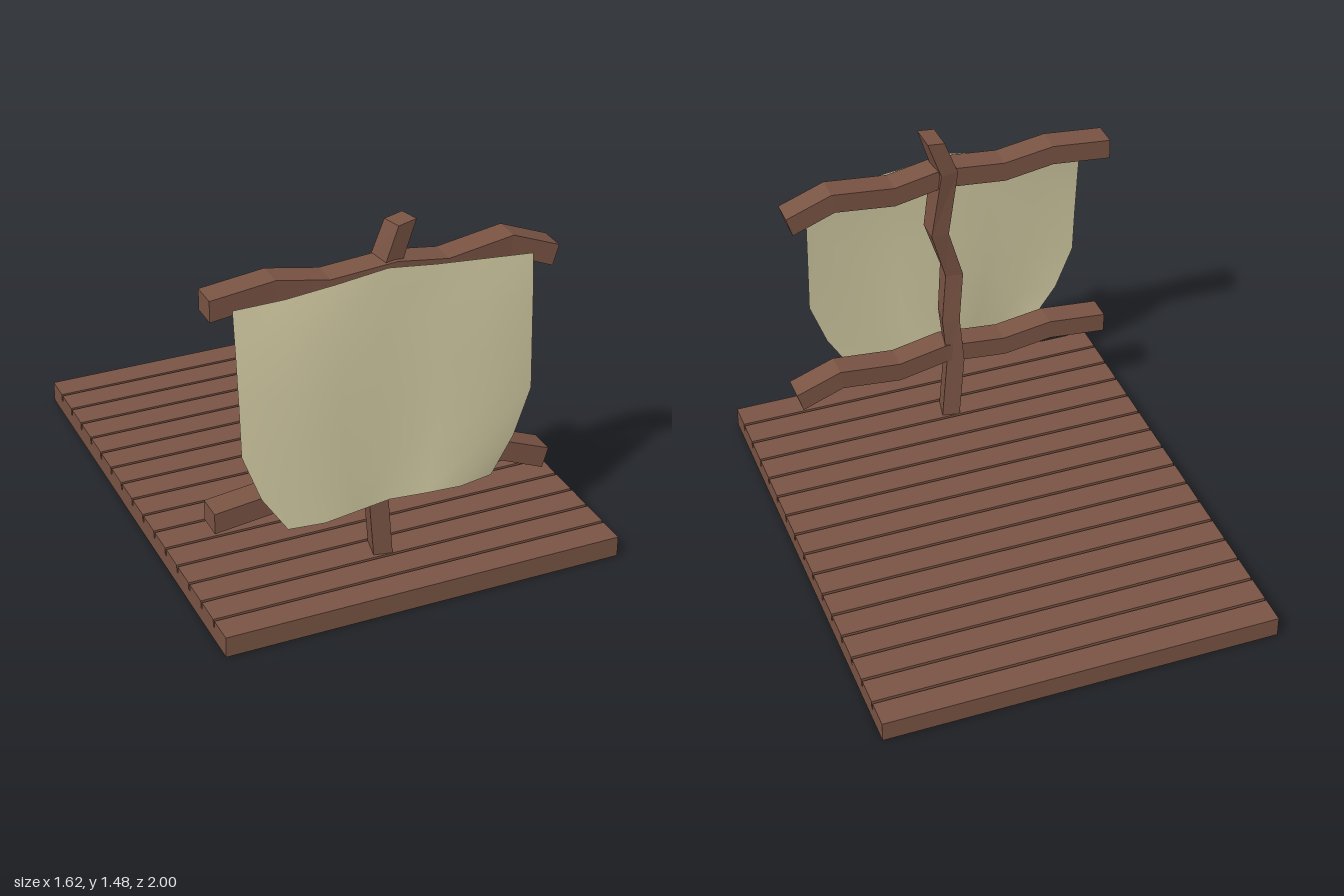
import * as THREE from 'three';

const wood = new THREE.MeshStandardMaterial({ color: 0x7a5444 });
wood.name = 'brown wood';
const canvas = new THREE.MeshStandardMaterial({ color: 0xd6cea6, side: THREE.DoubleSide });
canvas.name = 'pale canvas';

const V = (x, y, z) => new THREE.Vector3(x, y, z);

function addMesh(parent, name, geometry, material) {
  const mesh = new THREE.Mesh(geometry, material);
  mesh.name = name;
  parent.add(mesh);
  return mesh;
}

// Flat-shaded timber through four-cornered rings: centre c, half-axes a and b
function timber(rings) {
  const pos = [], index = [];
  for (const { c, a, b } of rings) {
    for (const [s, t] of [[1, 1], [-1, 1], [-1, -1], [1, -1]]) {
      const p = c.clone().addScaledVector(a, s).addScaledVector(b, t);
      pos.push(p.x, p.y, p.z);
    }
  }
  for (let i = 0; i < rings.length - 1; i++) {
    for (let k = 0; k < 4; k++) {
      const p = i * 4 + k, q = i * 4 + (k + 1) % 4;
      index.push(q, p, p + 4, q, p + 4, q + 4);
    }
  }
  const e = (rings.length - 1) * 4;
  index.push(0, 1, 2, 0, 2, 3, e + 3, e + 2, e + 1, e + 3, e + 1, e);
  const indexed = new THREE.BufferGeometry();
  indexed.setAttribute('position', new THREE.Float32BufferAttribute(pos, 3));
  indexed.setIndex(index);
  const geometry = indexed.toNonIndexed();
  geometry.computeVertexNormals();
  return geometry;
}

// Deck slab with grooves between its planks
function deckGeometry() {
  const top = 0.085, floor = 0.055, half = 0.006, pitch = 0.126;
  const shape = new THREE.Shape();
  shape.moveTo(-1, 0);
  shape.lineTo(1, 0);
  shape.lineTo(1, top);
  for (let i = 7; i >= -7; i--) {
    const z = i * pitch;
    shape.lineTo(z + half, top);
    shape.lineTo(z + half, floor);
    shape.lineTo(z - half, floor);
    shape.lineTo(z - half, top);
  }
  shape.lineTo(-1, top);
  const geometry = new THREE.ExtrudeGeometry(shape, { depth: 1.62, bevelEnabled: false });
  geometry.translate(0, 0, -0.81);
  geometry.rotateY(Math.PI / 2);
  return geometry;
}

// Crooked, slightly twisted mast: x, y, z, yaw
function mastGeometry() {
  const path = [
    [-0.053, 0.06, 0.692, -0.2],
    [-0.079, 0.37, 0.692, -0.2],
    [-0.06, 0.58, 0.698, -0.15],
    [-0.078, 0.8, 0.708, -0.1],
    [-0.01, 1.02, 0.695, 0],
    [-0.045, 1.31, 0.685, 0.12],
    [0.007, 1.465, 0.69, 0.1],
  ];
  return timber(path.map(([x, y, z, yaw], i) => {
    const s = Math.sin(yaw), c = Math.cos(yaw), tip = i === path.length - 1 ? 0.006 : 0;
    return {
      c: V(x, y, z),
      a: V(c * 0.037, tip, -s * 0.037),
      b: V(s * 0.05, tip, c * 0.05),
    };
  }));
}

// Wavy yard: x, y, z, tilt
function yardGeometry() {
  const path = [
    [-0.745, 1.276, 0.692, 0],
    [-0.495, 1.303, 0.688, -0.02],
    [-0.29, 1.266, 0.694, -0.05],
    [-0.03, 1.288, 0.7, 0],
    [0.18, 1.253, 0.69, 0],
    [0.44, 1.288, 0.678, -0.12],
    [0.622, 1.215, 0.682, -0.3],
  ];
  return timber(path.map(([x, y, z, tilt]) => ({
    c: V(x, y, z),
    a: V(0, 0, 0.053),
    b: V(-Math.sin(tilt) * 0.042, Math.cos(tilt) * 0.042, 0),
  })));
}

// Billowing sheet, narrowing toward its foot
function sailGeometry() {
  const rows = [ // height, left edge, right edge
    [1.27, -0.665, 0.515], [1.1, -0.665, 0.517], [0.9, -0.662, 0.518],
    [0.7, -0.66, 0.52], [0.51, -0.59, 0.45], [0.36, -0.49, 0.36],
  ];
  const crest = [0, 0.004, 0.025, 0.053, 0.025, 0.005, -0.015];
  const headZ = [0.757, 0.76, 0.765, 0.772, 0.765, 0.76, 0.755];
  const footZ = [0.825, 0.84, 0.815, 0.79, 0.805, 0.815, 0.788];
  const n = crest.length;
  const geometry = new THREE.PlaneGeometry(1, 1, n - 1, rows.length - 1);
  const p = geometry.attributes.position;
  rows.forEach(([y, x0, x1], r) => {
    const fall = Math.pow((1.27 - y) / 0.91, 0.65);
    for (let k = 0; k < n; k++) {
      p.setXYZ(r * n + k,
        x0 + (x1 - x0) * k / (n - 1),
        y + (r === 0 ? crest[k] : 0),
        headZ[k] + (footZ[k] - headZ[k]) * fall);
    }
  });
  geometry.computeVertexNormals();
  return geometry;
}

export function createModel() {
  const raft = new THREE.Group();
  raft.name = 'raft';
  addMesh(raft, 'deck', deckGeometry(), wood);
  addMesh(raft, 'mast', mastGeometry(), wood);
  const yard = yardGeometry();
  addMesh(raft, 'upperYard', yard, wood);
  addMesh(raft, 'lowerYard', yard, wood).position.y = -0.875;
  addMesh(raft, 'sail', sailGeometry(), canvas);
  return raft;
}
